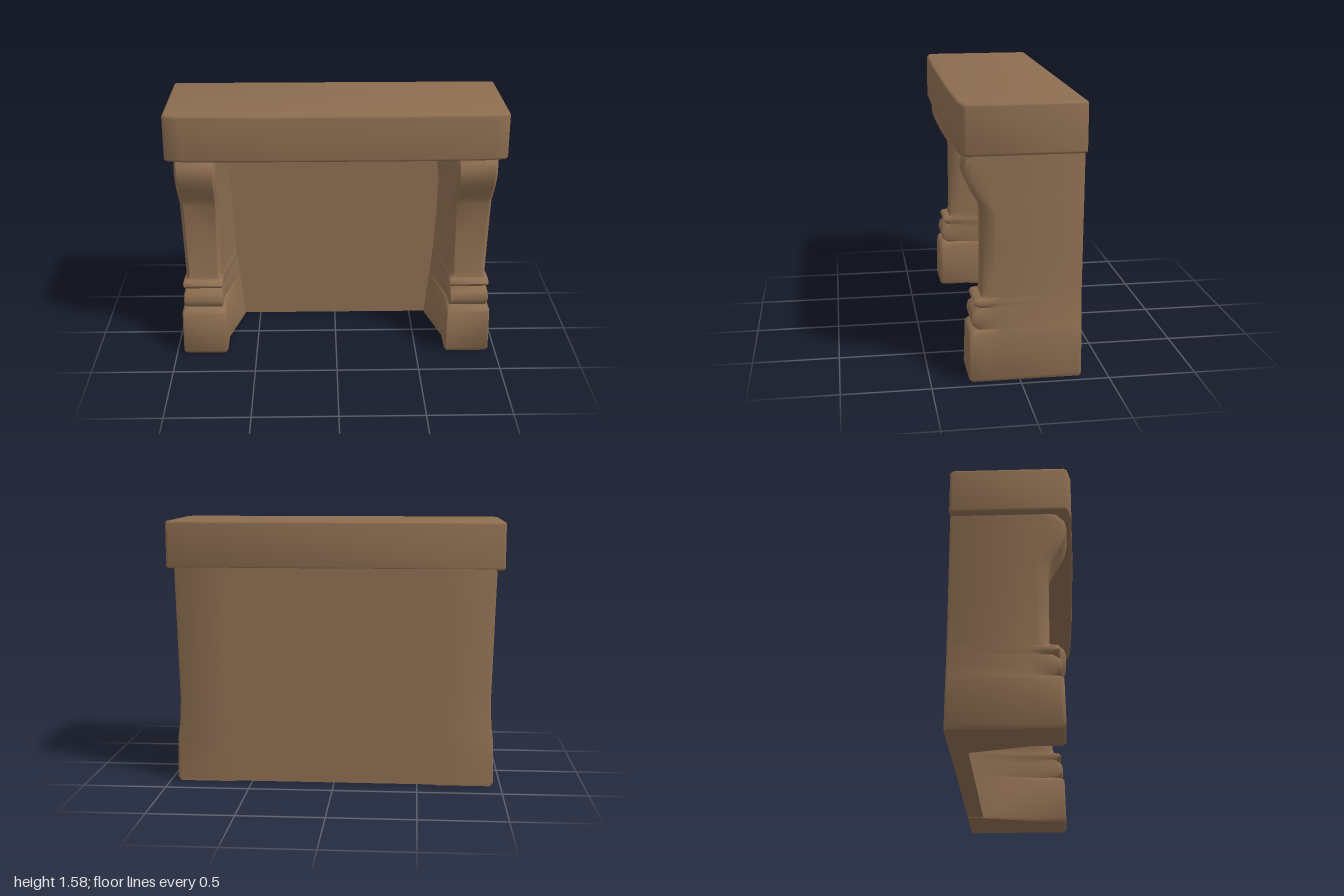
import * as THREE from 'three';
import { toCreasedNormals } from 'three/addons/utils/BufferGeometryUtils.js';

const stone = new THREE.MeshStandardMaterial({ color: 0x8c6d50 });
stone.name = 'brown stone';

// Straight-line interpolation through [y, value] pairs
function along(pairs, y) {
  for (let i = 1; i < pairs.length; i++) {
    const [y0, v0] = pairs[i - 1], [y1, v1] = pairs[i];
    if (y <= y1) return v0 + (v1 - v0) * (y - y0) / (y1 - y0);
  }
  return pairs[pairs.length - 1][1];
}

// Jamb heights: y, outer x, inner x, front z, corner chamfer depth
const ROWS = [
  [0, 0.945, 0.69, 0.272, 0.02], [0.02, 0.957, 0.68, 0.287, 0.02],
  [0.28, 0.955, 0.685, 0.28, 0.02], [0.298, 0.945, 0.695, 0.262, 0.02],
  [0.305, 0.935, 0.705, 0.23, 0.02], [0.33, 0.94, 0.70, 0.264, 0.02],
  [0.36, 0.943, 0.70, 0.272, 0.02], [0.40, 0.94, 0.70, 0.262, 0.02],
  [0.43, 0.93, 0.705, 0.225, 0.02], [0.447, 0.944, 0.70, 0.25, 0.02],
  [0.458, 0.945, 0.697, 0.258, 0.02], [0.475, 0.942, 0.70, 0.248, 0.02],
  [0.485, 0.93, 0.705, 0.212, 0.04], [0.51, 0.93, 0.705, 0.204, 0.06],
  [0.75, 0.938, 0.703, 0.203, 0.06], [0.97, 0.946, 0.70, 0.203, 0.06],
  [1.02, 0.948, 0.705, 0.225, 0.05], [1.1, 0.95, 0.71, 0.272, 0.04],
  [1.16, 0.952, 0.71, 0.299, 0.04], [1.21, 0.953, 0.71, 0.308, 0.04],
  [1.26, 0.954, 0.71, 0.295, 0.04], [1.29, 0.954, 0.71, 0.262, 0.04],
  [1.32, 0.954, 0.71, 0.25, 0.04],
];
const OUTER_WALL = [[0, 0.945], [0.02, 0.957], [0.25, 0.955], [0.36, 0.94], [0.5, 0.932], [1.32, 0.954]];
const INNER_BACK = [[0, 0.6], [0.5, 0.65], [0.95, 0.67], [1.32, 0.62]];

// One jamb: plinth, mouldings, shaft and scrolled bracket in a single loft
function jambGeometry(side) {
  const sections = ROWS.map(([y, xo, xi, zf, d]) => {
    const w = along(OUTER_WALL, y), b = along(INNER_BACK, y), zs = zf - d;
    const c = d * 0.45;
    return [
      [w - 0.015, -0.35], [w, -0.335], [w, 0.1], [xo, Math.min(0.18, zs - 0.01)],
      [xo, zs], [xo - c * 0.4, zf - d * 0.35], [xo - c, zf],
      [xi + c, zf], [xi + c * 0.4, zf - d * 0.35], [xi, zs],
      [xi, 0.1], [b, -0.25], [b, -0.35],
    ].map(([x, z]) => new THREE.Vector3(x * side, y, z));
  });
  const pos = [];
  const tri = (a, b, c) => (side > 0 ? [a, b, c] : [a, c, b]).forEach(p => pos.push(p.x, p.y, p.z));
  const n = sections[0].length;
  for (let i = 0; i < sections.length - 1; i++) {
    for (let j = 0; j < n; j++) {
      const k = (j + 1) % n, lo = sections[i], hi = sections[i + 1];
      tri(lo[j], hi[j], lo[k]);
      tri(lo[k], hi[j], hi[k]);
    }
  }
  // Caps
  const bottom = sections[0], top = sections[sections.length - 1];
  const cb = new THREE.Vector3(0.8 * side, bottom[0].y, 0), ct = new THREE.Vector3(0.8 * side, top[0].y, 0);
  for (let j = 0; j < n; j++) {
    const k = (j + 1) % n;
    tri(cb, bottom[j], bottom[k]);
    tri(ct, top[k], top[j]);
  }
  const g = new THREE.BufferGeometry();
  g.setAttribute('position', new THREE.Float32BufferAttribute(pos, 3));
  g.computeVertexNormals();
  return toCreasedNormals(g, 0.8);
}

// Mantel slab: slightly bowed front with clipped corners and soft edges
function mantelGeometry() {
  const half = [[0.985, -0.352], [1, -0.337], [1, 0.3], [0.985, 0.318], [0.9, 0.338], [0.4, 0.348]];
  const plan = [...half, ...half.slice().reverse().map(([x, z]) => [-x, z])];
  const shape = new THREE.Shape(plan.map(([x, z]) => new THREE.Vector2(x, -z)));
  const g = new THREE.ExtrudeGeometry(shape, {
    depth: 0.25, bevelEnabled: true, bevelThickness: 0.015, bevelSize: 0.012, bevelOffset: -0.012, bevelSegments: 3,
  });
  g.rotateX(-Math.PI / 2);
  g.translate(0, 1.313, 0);
  return toCreasedNormals(g, 0.8);
}

export function createModel() {
  const group = new THREE.Group();
  group.name = 'fireplace';
  const add = (name, geometry) => {
    const mesh = new THREE.Mesh(geometry, stone);
    mesh.name = name;
    group.add(mesh);
    return mesh;
  };
  add('leftJamb', jambGeometry(1));
  add('rightJamb', jambGeometry(-1));
  // Wall closing the back of the hearth
  add('backWall', new THREE.BoxGeometry(1.38, 1.306, 0.1)).position.set(0, 0.657, -0.299);
  add('mantel', mantelGeometry());
  return group;
}
